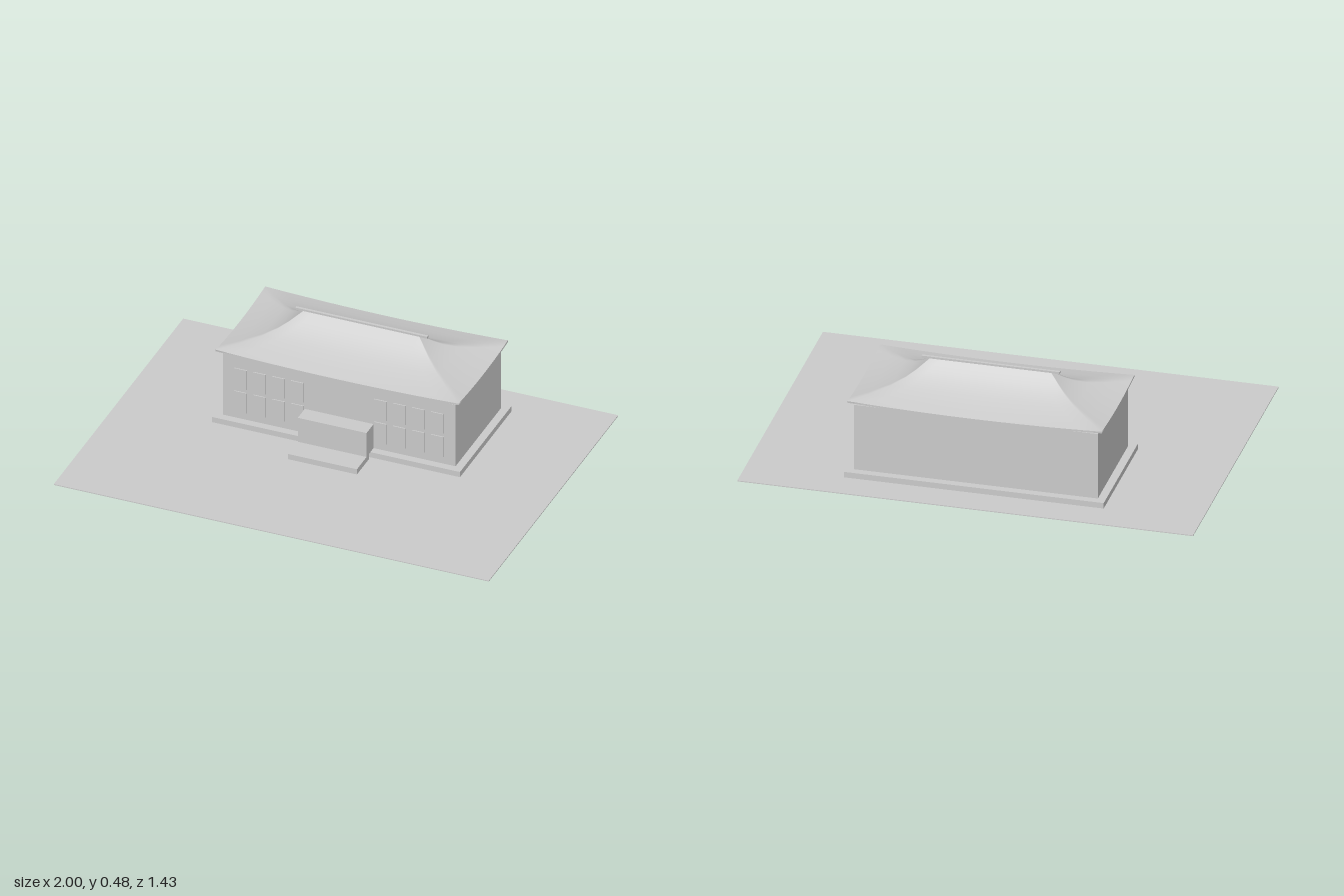
import * as THREE from 'three';

export function createModel() {
  const model = new THREE.Group();
  model.name = 'hall';
  const stone = new THREE.MeshStandardMaterial({ color: 0xcccccc });
  stone.name = 'pale grey';
  const roofZ = -0.285;

  const add = (name, geometry, parent = model) => {
    const mesh = new THREE.Mesh(geometry, stone);
    mesh.name = name;
    parent.add(mesh);
    return mesh;
  };
  // Box given by its limits on each axis
  const box = (name, [x0, x1], [y0, y1], [z0, z1], parent) =>
    add(name, new THREE.BoxGeometry(x1 - x0, y1 - y0, z1 - z0), parent)
      .position.set((x0 + x1) / 2, (y0 + y1) / 2, (z0 + z1) / 2);

  // Ground, plinth, walls, entrance
  box('ground', [-1, 1], [0, 0.004], [-0.714, 0.714]);
  box('plinth', [-0.57, 0.57], [0.004, 0.03], [-0.57, 0]);
  box('walls', [-0.535, 0.535], [0.03, 0.337], [-0.535, -0.035]);
  box('porch', [-0.158, 0.158], [0.03, 0.15], [-0.035, 0.042]);
  box('entranceStep', [-0.158, 0.158], [0.004, 0.03], [0.014, 0.148]);

  // Two rows of four windows on each side of the entrance
  const windows = new THREE.Group();
  windows.name = 'windows';
  model.add(windows);
  for (const side of [-1, 1]) {
    for (let i = 0; i < 4; i++) {
      const x = side * (0.452 - i * 0.087);
      box('upperWindow', [x - 0.029, x + 0.029], [0.182, 0.279], [-0.035, -0.03], windows);
      box('lowerWindow', [x - 0.029, x + 0.029], [0.065, 0.165], [-0.035, -0.03], windows);
    }
  }

  // Rectangular rings that shrink from the eaves (t = 1) to the ridge (t = 0),
  // with corners turned up toward the eaves
  const perSide = 12, count = perSide * 4;
  const corners = [[1, 1], [1, -1], [-1, -1], [-1, 1]];
  const skin = (profile) => {
    const pos = [], index = [];
    profile.forEach(([t, y], r) => {
      const hx = 0.265 + 0.293 * t, hz = 0.004 + 0.269 * t;
      for (let j = 0; j < count; j++) {
        const k = Math.floor(j / perSide), f = (j % perSide) / perSide;
        const a = corners[k], b = corners[(k + 1) % 4];
        const lift = 0.013 * Math.pow(Math.abs(2 * f - 1), 2) * t * t;
        pos.push((a[0] + (b[0] - a[0]) * f) * hx, y + lift, roofZ + (a[1] + (b[1] - a[1]) * f) * hz);
        if (r === profile.length - 1) continue;
        const p = r * count + j, q = r * count + (j + 1) % count;
        index.push(p, q, q + count, p, q + count, p + count);
      }
    });
    const g = new THREE.BufferGeometry();
    g.setAttribute('position', new THREE.Float32BufferAttribute(pos, 3));
    g.setIndex(index);
    g.computeVertexNormals();
    return g;
  };

  // Roof: underside, eave edge and concave hipped top
  const roof = new THREE.Group();
  roof.name = 'roof';
  model.add(roof);
  add('soffit', skin([[0, 0.343], [0.5, 0.343], [1, 0.342]]), roof);
  add('eaveEdge', skin([[1, 0.342], [1, 0.35]]), roof);
  add('roofTop', skin([[1, 0.35], [0.75, 0.364], [0.48, 0.385], [0.3, 0.408],
    [0.17, 0.433], [0.08, 0.455], [0, 0.474]]), roof);
  box('ridge', [-0.303, 0.303], [0.471, 0.481], [roofZ - 0.006, roofZ + 0.006], roof);

  // Small blocks between walls and roof
  for (const x of [-0.32, 0.32]) {
    box('roofBlock', [x - 0.015, x + 0.015], [0.337, 0.344], [-0.37, -0.34], roof);
  }
  return model;
}
